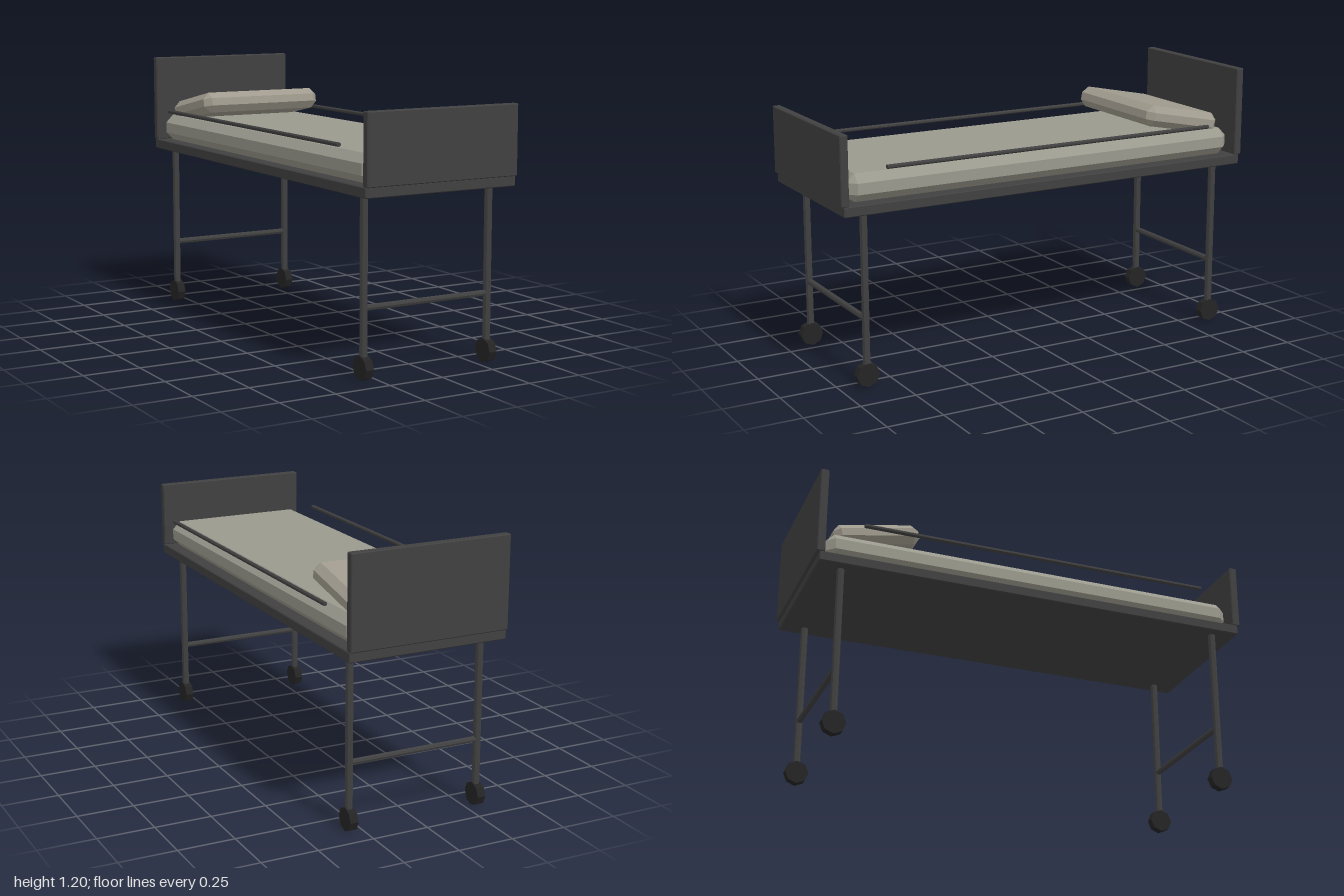
import * as THREE from 'three';
import { ConvexGeometry } from 'three/addons/geometries/ConvexGeometry.js';

const material = (name, color) => {
  const m = new THREE.MeshStandardMaterial({ color, flatShading: true });
  m.name = name;
  return m;
};

// Box with every edge cut at 45 degrees
function chamferBox(w, h, d, c) {
  const points = [];
  for (const x of [-1, 1]) for (const y of [-1, 1]) for (const z of [-1, 1]) {
    for (let axis = 0; axis < 3; axis++) {
      const cut = [c, c, c];
      cut[axis] = 0;
      points.push(new THREE.Vector3(x * (w / 2 - cut[0]), y * (h / 2 - cut[1]), z * (d / 2 - cut[2])));
    }
  }
  return new ConvexGeometry(points);
}

export function createModel() {
  const metal = material('dark metal', 0x404040);
  const rubber = material('black rubber', 0x242424);
  const cloth = material('mattress cloth', 0x9a998d);
  const pillowCloth = material('pillow cloth', 0x9f9a8d);
  const bed = new THREE.Group();
  bed.name = 'hospitalBed';

  const add = (name, geometry, mat, x, y, z) => {
    const mesh = new THREE.Mesh(geometry, mat);
    mesh.name = name;
    mesh.position.set(x, y, z);
    bed.add(mesh);
    return mesh;
  };

  // Bed base and end boards
  add('bedFrame', chamferBox(0.72, 0.045, 1.975, 0.004), metal, 0, 0.777, 0);
  add('headboard', chamferBox(0.72, 0.4, 0.036, 0.004), metal, 0, 0.998, -0.982);
  add('footboard', chamferBox(0.72, 0.298, 0.036, 0.004), metal, 0, 0.947, 0.982);

  // Bedding
  add('mattress', chamferBox(0.67, 0.12, 1.9, 0.036), cloth, 0, 0.86, 0);
  const pillow = add('pillow', chamferBox(0.605, 0.095, 0.39, 0.03), pillowCloth, 0, 0.973, -0.72);
  pillow.rotation.x = -0.2;

  // Legs, castors and cross bars
  const leg = new THREE.CylinderGeometry(0.0168, 0.0168, 0.68, 8);
  const bar = new THREE.CylinderGeometry(0.0135, 0.0135, 0.6, 8).rotateZ(Math.PI / 2);
  const wheel = new THREE.CylinderGeometry(0.052, 0.052, 0.037, 8).rotateZ(Math.PI / 2);
  for (const [end, z] of [['front', 0.88], ['back', -0.88]]) {
    for (const [side, x] of [['Left', 0.302], ['Right', -0.302]]) {
      add(`${end}${side}Leg`, leg, metal, x, 0.42, z);
      add(`${end}${side}Wheel`, wheel, rubber, x, 0.052, z);
    }
    add(`${end}CrossBar`, bar, metal, 0, 0.297, z);
  }

  // Side rails
  const rail = new THREE.CylinderGeometry(0.0092, 0.0092, 1.6, 8).rotateX(Math.PI / 2).rotateZ(Math.PI / 8);
  add('leftRail', rail, metal, 0.37, 0.949, 0);
  add('rightRail', rail, metal, -0.37, 0.949, 0);

  return bed;
}
